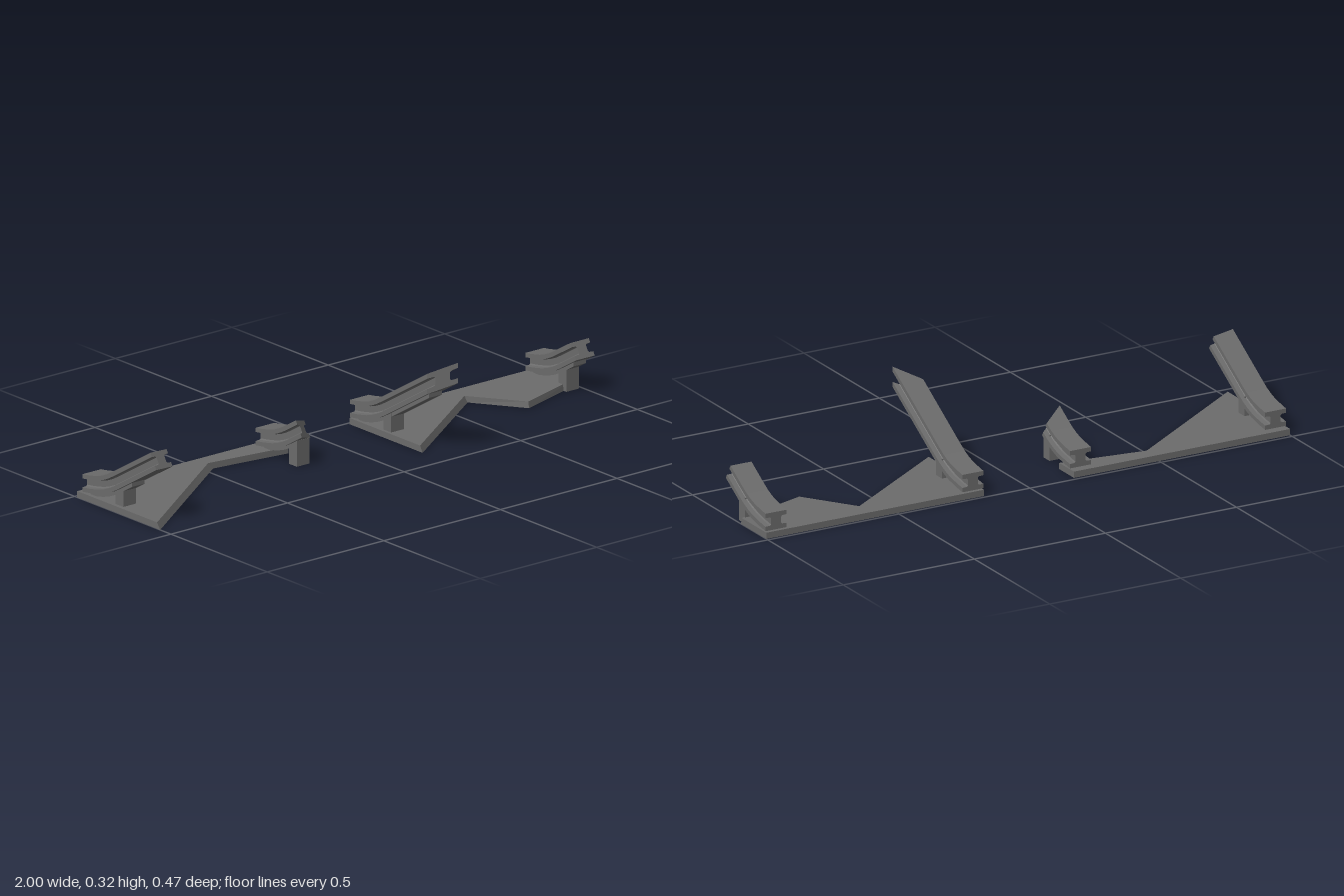
import * as THREE from 'three';

const material = new THREE.MeshStandardMaterial({ color: 0x6b6b6b, flatShading: true });

// Skin a list of rings of Vector3; outline2D (counter-clockwise) closes both ends
function loft(rings, outline2D) {
  const pos = [];
  const tri = (a, b, c) => pos.push(...a, ...b, ...c);
  const n = outline2D.length;
  for (let i = 0; i < rings.length - 1; i++) {
    for (let j = 0; j < n; j++) {
      const k = (j + 1) % n;
      const [a, b, c, d] = [rings[i][j], rings[i][k], rings[i + 1][k], rings[i + 1][j]];
      tri(a, b, c);
      tri(a, c, d);
    }
  }
  const first = rings[0], last = rings[rings.length - 1];
  for (const [a, b, c] of THREE.ShapeUtils.triangulateShape(outline2D, [])) {
    tri(first[a], first[c], first[b]);
    tri(last[a], last[b], last[c]);
  }
  const g = new THREE.BufferGeometry();
  g.setAttribute('position', new THREE.Float32BufferAttribute(pos, 3));
  g.computeVertexNormals();
  return g;
}

function addMesh(parent, name, geometry) {
  const m = new THREE.Mesh(geometry, material);
  m.name = name;
  parent.add(m);
  return m;
}

// Top line of a rail as [z, y]: straight ramp, then levelling out
const RAMP = [[-0.02, 0.322], [-0.335, 0.133], [-0.36, 0.119], [-0.385, 0.108],
  [-0.41, 0.1], [-0.435, 0.095], [-0.457, 0.091], [-0.485, 0.087]];

// Sections as [x, depth below the top line]; the channel has small chamfers at the web
const half = [[0.04, 0], [0.04, 0.015], [0.023, 0.016], [0.019, 0.02],
  [0.019, 0.041], [0.023, 0.045], [0.04, 0.046], [0.04, 0.061]];
const I_BEAM = [...half, ...half.map(([x, d]) => [-x, d]).reverse()];
const STRIP = [[0.027, 0.059], [0.027, 0.073], [-0.027, 0.073], [-0.027, 0.059]];

// Sweep a section down the ramp; cut(x) gives z of the front end at the top line
function sweep(section, cut, vertical, path) {
  const dir = (a, b) => {
    const l = Math.hypot(b[0] - a[0], b[1] - a[1]);
    return [(b[0] - a[0]) / l, (b[1] - a[1]) / l];
  };
  const T0 = dir(path[0], path[1]);
  const rings = path.map((p, i) => {
    let t = T0;
    if (i > 1) t = i === path.length - 1 ? [-1, 0] : dir(path[i - 1], path[i + 1]);
    const n = [-t[1], t[0]];
    return section.map(([x, d]) => {
      let z = p[0] + n[0] * d, y = p[1] + n[1] * d;
      if (i === 0) {
        // slide along the straight ramp to the cut plane
        const s = (cut(x) + (vertical ? 0 : n[0] * d) - z) / t[0];
        z += t[0] * s;
        y += t[1] * s;
      }
      return new THREE.Vector3(x, y, z);
    });
  });
  return loft(rings, section.map(([x, d]) => new THREE.Vector2(x, d)));
}

// Rail, its underside strip and its post
function addRail(parent, name, { x, shift, minusX, plusX, vertical = false, strip }) {
  const g = new THREE.Group();
  g.name = name;
  g.position.x = x;
  parent.add(g);
  const path = RAMP.map(([z, y]) => [z + shift, y]);
  const cut = (px) => THREE.MathUtils.lerp(minusX, plusX, (px + 0.04) / 0.08);
  addMesh(g, 'rail', sweep(I_BEAM, cut, vertical, path));
  addMesh(g, 'undersideStrip', sweep(STRIP, () => strip, true, path.slice(0, -1)));
  addMesh(g, 'post', new THREE.BoxGeometry(0.055, 0.09, 0.04)).position.set(0, 0.045, -0.307 + shift);
}

// Flat base: each corner is [x, bottom z], plus [top z, top x] where an edge slopes
function addPlate(parent, corners) {
  const bottom = corners.map(([x, z]) => new THREE.Vector3(x, 0, z));
  const top = corners.map(([x, z, topZ = z, topX = x]) => new THREE.Vector3(topX, 0.022, topZ));
  const outline = corners.map(([x, z]) => new THREE.Vector2(z, x));
  addMesh(parent, 'basePlate', loft([bottom, top], outline));
}

export function createModel() {
  const model = new THREE.Group();
  model.name = 'railStands';

  const right = new THREE.Group();
  right.name = 'rightStand';
  addPlate(right, [[-1, -0.487], [-1, -0.056, -0.072], [-0.466, -0.428, -0.431, -0.485],
    [-0.175, -0.389], [-0.175, -0.487]]);
  addRail(right, 'outerRail', { x: -0.958, shift: 0.022, minusX: -0.11, plusX: -0.122, strip: -0.22 });
  addRail(right, 'innerRail', { x: -0.214, shift: 0.022, minusX: -0.255, plusX: -0.308, strip: -0.27 });

  const left = new THREE.Group();
  left.name = 'leftStand';
  addPlate(left, [[0.17, -0.49], [0.17, -0.11, -0.123], [0.612, -0.412, -0.421, 0.606],
    [0.732, -0.237, -0.242], [1, -0.322, -0.326], [1, -0.49]]);
  addRail(left, 'innerRail', { x: 0.209, shift: 0, minusX: -0.085, plusX: -0.021, vertical: true, strip: -0.09 });
  addRail(left, 'outerRail', { x: 0.96, shift: 0, minusX: -0.252, plusX: -0.252, strip: -0.25 });

  model.add(right, left);
  return model;
}
